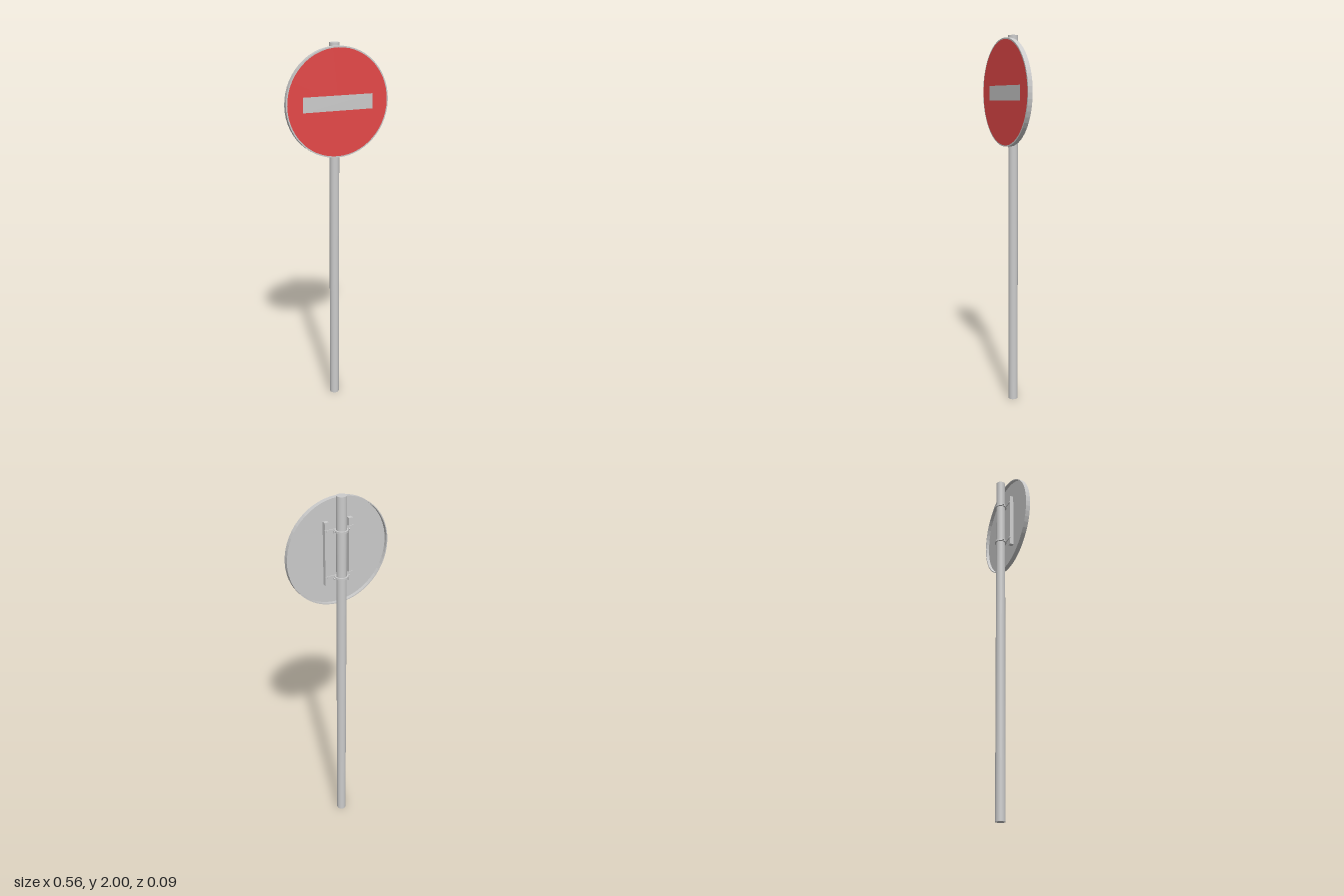
import * as THREE from 'three';

const SIGN_Y = 1.706, POLE_Z = -0.01;

export function createModel() {
  const model = new THREE.Group();
  const grey = new THREE.MeshStandardMaterial({ color: 0xcccccc, flatShading: true });
  const smooth = new THREE.MeshStandardMaterial({ color: 0xcccccc });
  const red = new THREE.MeshStandardMaterial({ color: 0xe54848 });

  const add = (name, geometry, material, x, y, z, parent = model) => {
    const mesh = new THREE.Mesh(geometry, material);
    mesh.name = name;
    mesh.position.set(x, y, z);
    parent.add(mesh);
    return mesh;
  };
  const lathe = (points, segments) =>
    new THREE.LatheGeometry(points.map(([r, h]) => new THREE.Vector2(r, h)), segments);

  // Pole
  add('pole', new THREE.CylinderGeometry(0.026, 0.026, 2, 32), smooth, 0, 1, POLE_Z);

  // Round sign: shallow pan with a lip folded to the back
  const pan = lathe([
    [0, 0.036], [0.275, 0.036], [0.275, 0.017], [0.28, 0.017], [0.28, 0.042], [0, 0.042],
  ], 56).rotateX(Math.PI / 2);
  add('signPan', pan, grey, 0, SIGN_Y, 0);

  // Front face colours
  add('signFace', new THREE.CircleGeometry(0.273, 56), red, 0, SIGN_Y, 0.0427);
  add('signBar', new THREE.BoxGeometry(0.382, 0.077, 0.001), grey, 0, SIGN_Y, 0.0432);

  // Upright rails on the back of the sign
  for (const side of [-1, 1]) {
    add('mountingRail', new THREE.BoxGeometry(0.022, 0.33, 0.022), grey, side * 0.066, SIGN_Y, 0.025);
  }

  // Two pole clamps, each with a cross arm and side bolts
  for (const y of [1.585, 1.828]) {
    const clamp = new THREE.Group();
    clamp.name = 'poleClamp';
    clamp.position.y = y;
    model.add(clamp);

    const band = lathe([
      [0.026, -0.005], [0.034, -0.005], [0.034, 0.005], [0.026, 0.005], [0.026, -0.005],
    ], 32);
    add('clampBand', band, grey, 0, 0, POLE_Z, clamp);
    add('crossArm', new THREE.BoxGeometry(0.156, 0.012, 0.005), grey, 0, 0, 0.0125, clamp);

    for (const side of [-1, 1]) {
      const shank = new THREE.CylinderGeometry(0.003, 0.003, 0.014, 10).rotateZ(Math.PI / 2);
      add('clampBolt', shank, grey, side * 0.037, 0, POLE_Z, clamp);
      const head = new THREE.CylinderGeometry(0.005, 0.005, 0.005, 6).rotateZ(Math.PI / 2);
      add('boltHead', head, grey, side * 0.041, 0, POLE_Z, clamp);
      const stud = new THREE.CylinderGeometry(0.004, 0.004, 0.003, 6).rotateX(Math.PI / 2);
      add('armStud', stud, grey, side * 0.066, 0, 0.0095, clamp);
    }
  }
  return model;
}
